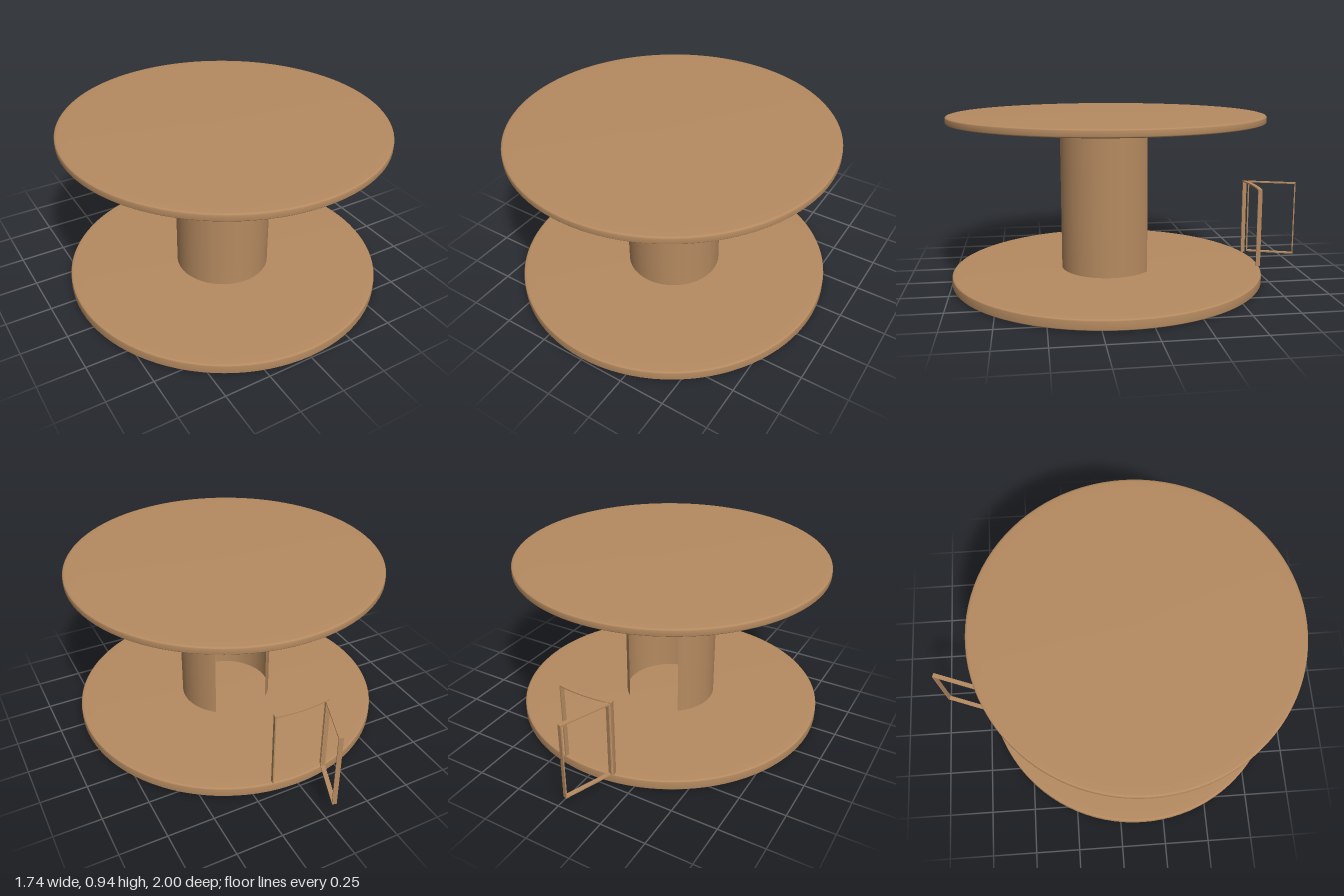
import * as THREE from 'three';

const CENTRE_Z = 0.13;
const RADIUS = 0.87;
const DEG = Math.PI / 180;

const tan = new THREE.MeshStandardMaterial({ color: 0xb58a60 });
tan.name = 'tan';
const tanThin = new THREE.MeshStandardMaterial({ color: 0xb58a60, side: THREE.DoubleSide });
tanThin.name = 'tan thin wall';

function add(parent, name, geometry, material = tan) {
  const mesh = new THREE.Mesh(geometry, material);
  mesh.name = name;
  parent.add(mesh);
  return mesh;
}

// Round slab with a softly rounded rim and faintly domed faces
function slab(y0, y1) {
  const points = [
    [0, y0], [0.3, y0 + 0.001], [0.8, y0 + 0.003], [0.855, y0 + 0.004], [0.866, y0 + 0.007], [RADIUS, y0 + 0.012],
    [RADIUS, y1 - 0.012], [0.866, y1 - 0.007], [0.855, y1 - 0.004], [0.8, y1 - 0.003], [0.3, y1 - 0.001], [0, y1],
  ].map(([r, y]) => new THREE.Vector2(r, y));
  return new THREE.LatheGeometry(points, 96);
}

// Flat curved rail that follows the rim, centred on the back
function curvedRail(r0, r1, halfAngle, thickness) {
  const shape = new THREE.Shape();
  const mid = Math.PI / 2;
  shape.absarc(0, 0, r1, mid - halfAngle, mid + halfAngle, false);
  shape.absarc(0, 0, r0, mid + halfAngle, mid - halfAngle, true);
  shape.closePath();
  const geometry = new THREE.ExtrudeGeometry(shape, { depth: thickness, bevelEnabled: false, curveSegments: 12 });
  return geometry.rotateX(-Math.PI / 2);
}

export function createModel() {
  const model = new THREE.Group();
  model.name = 'roundPavilion';

  const body = new THREE.Group();
  body.name = 'body';
  body.position.z = CENTRE_Z;
  model.add(body);

  add(body, 'floorSlab', slab(0, 0.065));
  add(body, 'roofSlab', slab(0.888, 0.937));

  // Core wall, open toward the back
  const gap = 38.5 * DEG;
  add(body, 'coreWall', new THREE.CylinderGeometry(0.26, 0.26, 0.826, 72, 1, true,
    Math.PI + gap, 2 * Math.PI - 2 * gap), tanThin).position.y = 0.476;

  // Door frame standing on the rim
  const frame = new THREE.Group();
  frame.name = 'doorFrame';
  body.add(frame);
  const half = 10 * DEG, barDepth = 0.024, bar = 0.007;
  const bottom = 0.065, top = 0.507, rFrame = 0.861;
  for (const side of [-1, 1]) {
    const a = side * half;
    const post = add(frame, side < 0 ? 'rightPost' : 'leftPost',
      new THREE.BoxGeometry(bar, top - bottom, barDepth));
    post.position.set(rFrame * Math.sin(a), (top + bottom) / 2, -rFrame * Math.cos(a));
    post.rotation.y = -a;
  }
  add(frame, 'frameTopRail', curvedRail(rFrame - barDepth / 2, rFrame + barDepth / 2, half, bar))
    .position.y = top - bar;

  // Open door, hinged on the right post
  const door = new THREE.Group();
  door.name = 'openDoor';
  door.position.set(-0.142, 0, -0.738 - CENTRE_Z);
  door.rotation.y = 69.5 * DEG;
  body.add(door);
  const length = 0.278, low = 0.073;
  for (const [name, x] of [['hingeStile', bar / 2], ['outerStile', length - bar / 2]]) {
    add(door, name, new THREE.BoxGeometry(bar, top - low, barDepth)).position.set(x, (top + low) / 2, 0);
  }
  for (const [name, y] of [['doorTopRail', top - bar / 2], ['doorBottomRail', low + bar / 2]]) {
    add(door, name, new THREE.BoxGeometry(length, bar, barDepth)).position.set(length / 2, y, 0);
  }

  return model;
}
